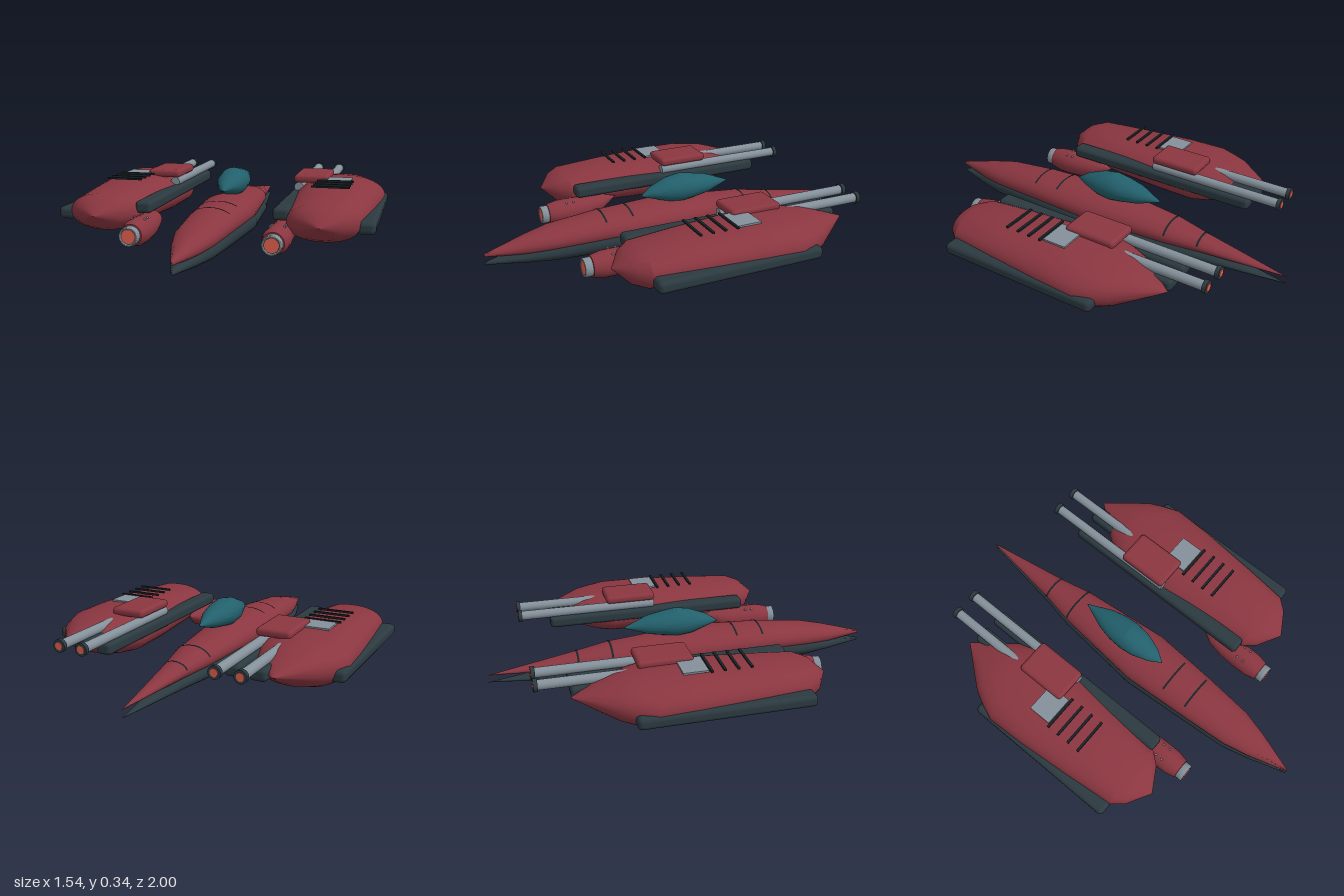
import * as THREE from 'three';
import { toCreasedNormals } from 'three/addons/utils/BufferGeometryUtils.js';
import { RoundedBoxGeometry } from 'three/addons/geometries/RoundedBoxGeometry.js';

const mat = (name, color, side = THREE.FrontSide) => {
  const m = new THREE.MeshStandardMaterial({ color, side });
  m.name = name;
  return m;
};

// Loft of superelliptic rings; rows are [z, halfWidth, centreY, halfHeight], z increasing
function loft(rows, { power = 2, from = 0, to = Math.PI * 2, n = 40, crease = 0.4 } = {}) {
  const pos = [], idx = [];
  const bend = (v) => Math.sign(v) * Math.pow(Math.abs(v), 2 / power);
  for (const [z, w, y, h] of rows) {
    for (let j = 0; j <= n; j++) {
      const t = from + (to - from) * j / n;
      pos.push(w * bend(Math.cos(t)), y + h * bend(Math.sin(t)), z);
    }
  }
  for (let i = 0; i < rows.length - 1; i++) {
    for (let j = 0; j < n; j++) {
      const a = i * (n + 1) + j, b = a + 1, d = a + n + 1, c = d + 1;
      if (rows[i][1] > 0) idx.push(a, b, rows[i + 1][1] > 0 ? c : d);
      if (rows[i + 1][1] > 0) idx.push(a, c, d);
    }
  }
  const g = new THREE.BufferGeometry();
  g.setAttribute('position', new THREE.Float32BufferAttribute(pos, 3));
  g.setIndex(idx);
  return toCreasedNormals(g, crease);
}

// Interpolated loft row at a given z
function rowAt(rows, z) {
  const i = rows.findIndex((r) => r[0] >= z);
  const a = rows[i - 1], b = rows[i], k = (z - a[0]) / (b[0] - a[0]);
  return a.map((v, q) => v + (b[q] - v) * k);
}

export function createModel() {
  const red = mat('red paint', 0x8a3640);
  const dark = mat('dark hull', 0x2b3a40);
  const trim = mat('black trim', 0x1b2327, THREE.DoubleSide);
  const grey = mat('grey metal', 0x84909a);
  const teal = mat('teal glass', 0x22606c);
  const glow = mat('orange glow', 0xe0604f);

  const model = new THREE.Group();
  model.name = 'twinPodCraft';
  const add = (parent, name, geo, material, x = 0, y = 0, z = 0) => {
    const m = new THREE.Mesh(geo, material);
    m.name = name;
    m.position.set(x, y, z);
    parent.add(m);
    return m;
  };

  // Central fuselage: red upper shell over a dark lower hull
  const upper = [
    [-1, 0, 0.085, 0], [-0.55, 0.065, 0.115, 0.042], [-0.38, 0.098, 0.125, 0.06],
    [0.08, 0.143, 0.135, 0.085], [0.41, 0.122, 0.13, 0.078], [0.67, 0.1, 0.12, 0.062],
    [0.8, 0.068, 0.108, 0.045], [1, 0.004, 0.09, 0.008],
  ];
  const lower = [
    [-1, 0, 0.047, 0], [-0.55, 0.068, 0.06, 0.038], [-0.38, 0.102, 0.067, 0.054],
    [0.08, 0.15, 0.082, 0.082], [0.41, 0.127, 0.08, 0.075], [0.67, 0.104, 0.07, 0.058],
    [0.8, 0.07, 0.06, 0.038], [1, 0.004, 0.047, 0.007],
  ];
  add(model, 'upperFuselage', loft(upper), red);
  add(model, 'lowerHull', loft(lower), dark);

  // Panel seams wrapped over the back of the fuselage
  for (const [z, arc] of [[-0.55, 0.25], [-0.38, 0.3], [0.27, 0.82], [0.41, 0.75]]) {
    const seam = [z - 0.005, z + 0.005].map((q) => {
      const r = rowAt(upper, q);
      return [q, r[1] + 0.003, r[2], r[3] + 0.003];
    });
    add(model, 'panelSeam', loft(seam, { from: arc, to: Math.PI - arc, n: 20 }), trim);
  }

  // Canopy
  add(model, 'canopy', loft([
    [-0.31, 0, 0.262, 0], [-0.18, 0.055, 0.267, 0.047], [-0.1, 0.073, 0.268, 0.061],
    [-0.03, 0.077, 0.268, 0.072], [0.04, 0.07, 0.266, 0.062], [0.13, 0.04, 0.262, 0.03], [0.19, 0, 0.25, 0],
  ], { n: 24, crease: 0.3 }), teal);

  // Shared pod geometry
  const podBody = loft([
    [-0.655, 0, 0.2, 0], [-0.55, 0.085, 0.19, 0.045], [-0.45, 0.165, 0.18, 0.085],
    [-0.38, 0.2, 0.173, 0.1], [-0.3, 0.23, 0.172, 0.109], [-0.1, 0.222, 0.172, 0.111],
    [0.2, 0.195, 0.17, 0.1], [0.43, 0.17, 0.168, 0.088], [0.49, 0.12, 0.168, 0.066], [0.56, 0, 0.17, 0],
  ], { power: 2.2 });
  const engineBody = loft([
    [0.2, 0, 0.135, 0], [0.29, 0.05, 0.115, 0.045], [0.37, 0.061, 0.1, 0.058],
    [0.46, 0.065, 0.097, 0.065], [0.53, 0.064, 0.097, 0.064], [0.585, 0.052, 0.097, 0.052], [0.592, 0, 0.097, 0],
  ], { n: 32 });
  const cyl = (r, len) => new THREE.CylinderGeometry(r, r, len, 24).rotateX(Math.PI / 2);
  const nozzle = new THREE.LatheGeometry(
    [[0.036, 0], [0.046, 0], [0.046, 0.036], [0.036, 0.036], [0.036, 0]].map(([x, y]) => new THREE.Vector2(x, y)), 28,
  ).rotateX(Math.PI / 2);

  for (const s of [1, -1]) {
    const pod = new THREE.Group();
    pod.name = s > 0 ? 'leftPod' : 'rightPod';
    model.add(pod);
    const X = 0.335 * s;

    add(pod, 'podBody', podBody, red, 0.533 * s);
    add(pod, 'outerRail', new RoundedBoxGeometry(0.085, 0.06, 0.83, 3, 0.022), dark, 0.729 * s, 0.152, 0.018);
    add(pod, 'innerRail', new RoundedBoxGeometry(0.08, 0.06, 1.07, 3, 0.02), dark, X, 0.197, -0.107);
    add(pod, 'gunMount', new RoundedBoxGeometry(0.085, 0.06, 0.3, 3, 0.02), dark, 0.458 * s, 0.197, -0.495);
    add(pod, 'gunHousing', new RoundedBoxGeometry(0.177, 0.042, 0.265, 4, 0.018), red, 0.397 * s, 0.286, -0.203);

    // Rear-facing twin barrels
    for (const bx of [0.336, 0.457]) {
      add(pod, 'barrel', cyl(0.024, 0.72), grey, bx * s, 0.243, -0.435);
      add(pod, 'muzzle', cyl(0.031, 0.02), dark, bx * s, 0.243, -0.797);
      add(pod, 'muzzleGlow', cyl(0.019, 0.006), glow, bx * s, 0.243, -0.807);
    }

    // Top plate and cooling vents
    add(pod, 'topPlate', new THREE.BoxGeometry(0.15, 0.009, 0.12), grey, 0.53 * s, 0.285, -0.095);
    for (const z of [-0.025, 0.037, 0.1, 0.163]) {
      add(pod, 'vent', new THREE.BoxGeometry(0.185, 0.009, 0.012), trim, 0.529 * s, 0.289, z);
    }

    // Front engine with nozzle ring, glowing core and rivets
    add(pod, 'engineBody', engineBody, red, X);
    add(pod, 'nozzleRing', nozzle, grey, X, 0.097, 0.586).material.side = THREE.DoubleSide;
    add(pod, 'nozzleLiner', cyl(0.041, 0.03), dark, X, 0.097, 0.602);
    add(pod, 'nozzleCore', cyl(0.034, 0.01), glow, X, 0.097, 0.616);
    for (const z of [0.45, 0.487]) {
      for (const dx of [-0.033, 0.033]) {
        add(pod, 'rivet', new THREE.SphereGeometry(0.006, 8, 6), grey, X + dx, 0.154, z);
      }
    }
  }
  return model;
}
